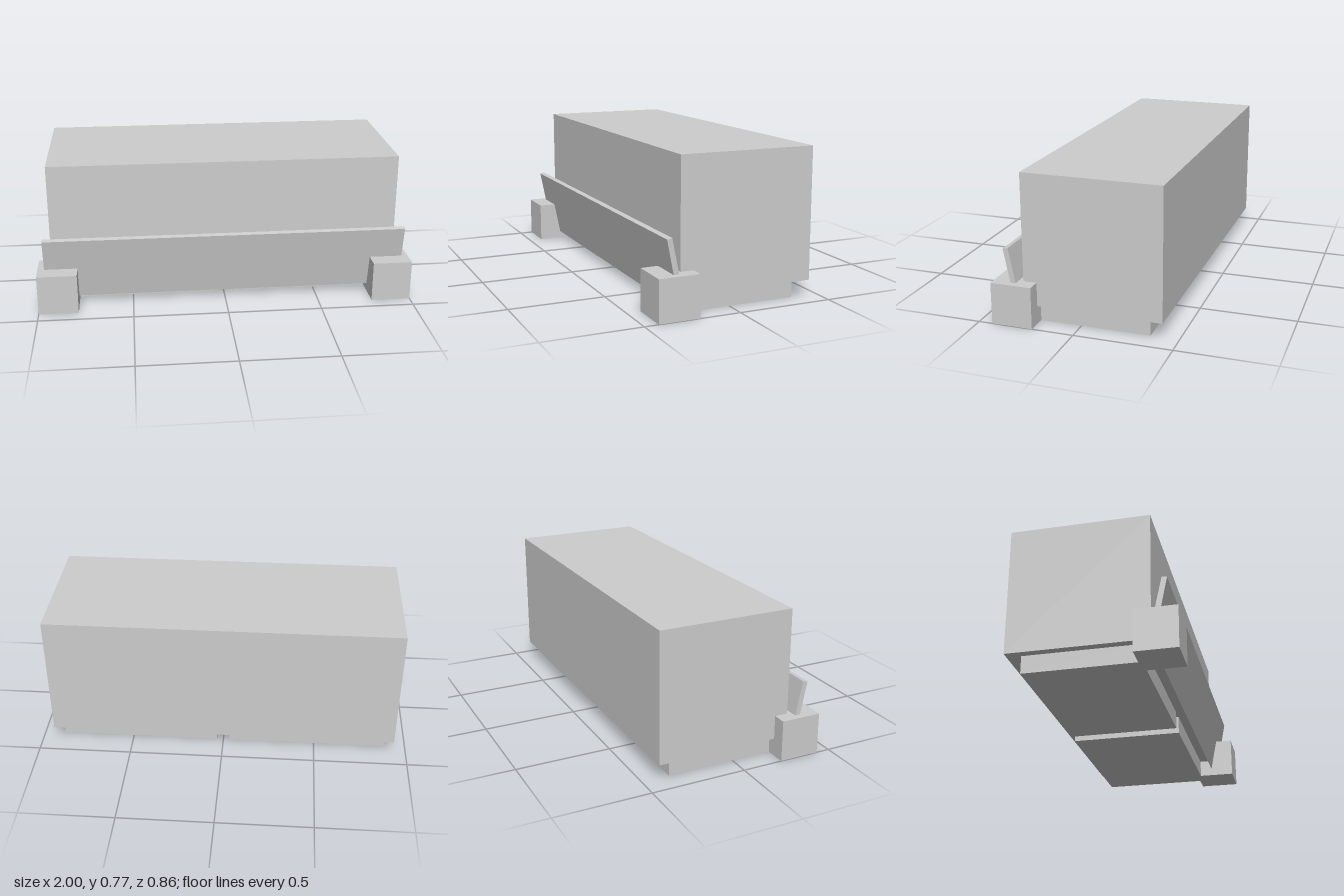
import * as THREE from 'three';

export function createModel() {
  const group = new THREE.Group();
  const grey = new THREE.MeshStandardMaterial({ color: 0xcccccc });
  grey.name = 'plain grey';

  // Box given by its lower and upper limits on each axis
  const box = (name, x0, x1, y0, y1, z0, z1) => {
    const mesh = new THREE.Mesh(new THREE.BoxGeometry(x1 - x0, y1 - y0, z1 - z0), grey);
    mesh.position.set((x0 + x1) / 2, (y0 + y1) / 2, (z0 + z1) / 2);
    mesh.name = name;
    group.add(mesh);
  };

  // Main body
  box('body', -0.928, 0.928, 0.092, 0.77, -0.428, 0.285);

  // Mirrored base slabs, with a gap between them, and front corner blocks
  for (const [side, s] of [['left', 1], ['right', -1]]) {
    const pair = (a, b) => (s > 0 ? [a, b] : [-b, -a]);
    box(side + 'BaseSlab', ...pair(0.035, 0.886), 0, 0.092, -0.355, 0.235);
    box(side + 'CornerBlock', ...pair(0.79, 1), 0, 0.216, 0.215, 0.428);
  }

  // Leaning front panel: side profile (z, y) extruded along x
  const profile = new THREE.Shape(
    [[0.302, 0.04], [0.371, 0.388], [0.345, 0.393], [0.302, 0.185]].map(([z, y]) => new THREE.Vector2(-z, y))
  );
  const panelGeometry = new THREE.ExtrudeGeometry(profile, { depth: 1.93, bevelEnabled: false });
  panelGeometry.translate(0, 0, -0.965).rotateY(Math.PI / 2);
  const panel = new THREE.Mesh(panelGeometry, grey);
  panel.name = 'frontPanel';
  group.add(panel);

  return group;
}
